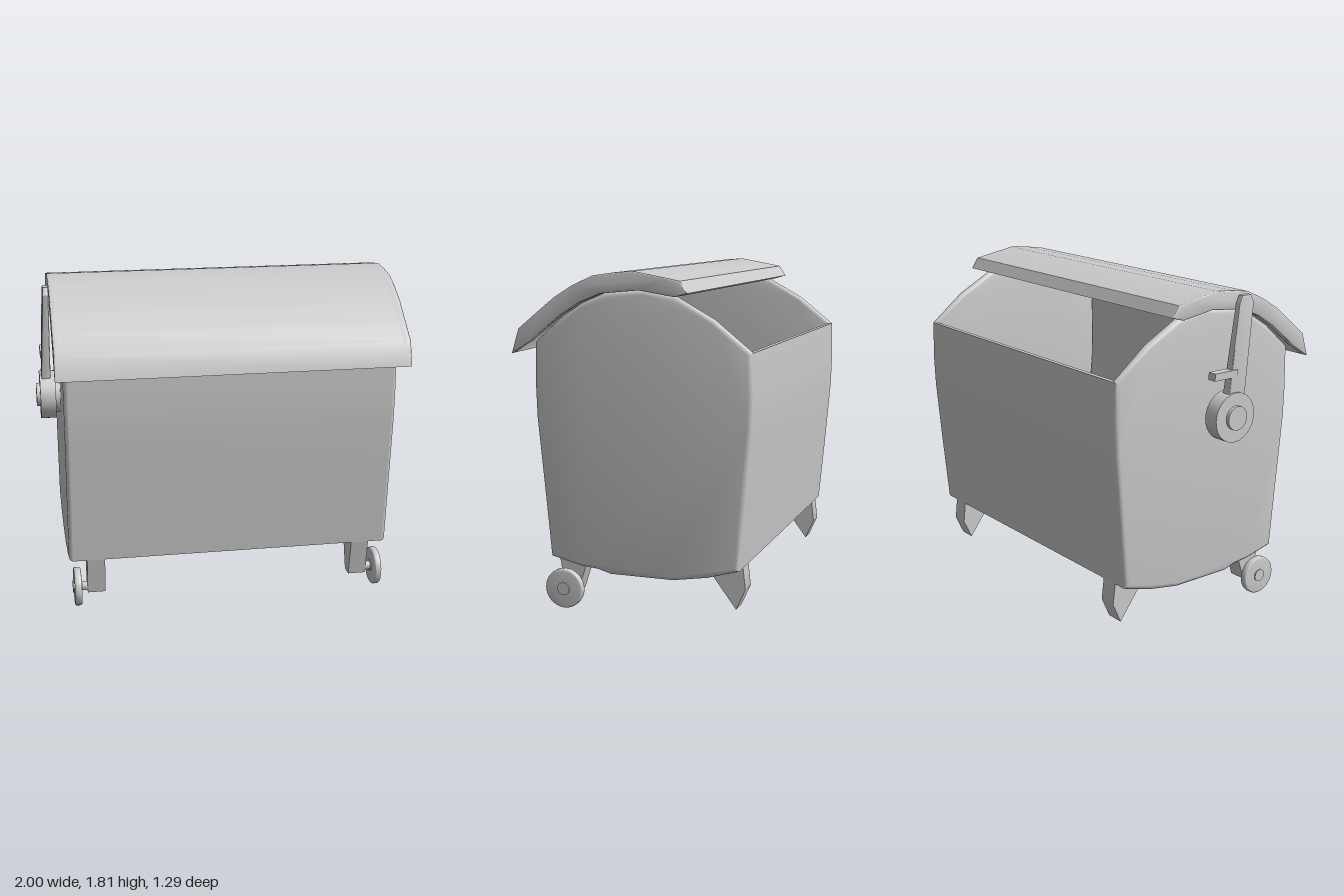
import * as THREE from 'three';
import { toCreasedNormals } from 'three/addons/utils/BufferGeometryUtils.js';

const MID = 0.04; // centre plane of the body in x
const mat = new THREE.MeshStandardMaterial({ color: 0xcccccc });
const sheetMat = new THREE.MeshStandardMaterial({ color: 0xcccccc, side: THREE.DoubleSide });

// Profiles are lists of [z, y]
const wallProfile = [
  [-0.64, 1.42], [-0.645, 1.2], [-0.64, 1.04], [-0.61, 0.68], [-0.575, 0.3], [-0.4, 0.25],
  [-0.22, 0.22], [0.13, 0.22], [0.2, 0.24], [0.3, 0.25], [0.47, 0.29], [0.5, 0.62],
  [0.54, 1.04], [0.545, 1.2], [0.54, 1.44], [0.38, 1.58], [0.27, 1.65], [0.15, 1.7],
  [-0.06, 1.72], [-0.24, 1.69],
];
const openingEdge = [[-0.44, 1.58]];
const lidProfile = [
  [0.65, 1.38], [0.61, 1.51], [0.5, 1.6], [0.4, 1.68], [0.3, 1.74], [0.19, 1.79],
  [0.08, 1.806], [-0.03, 1.815], [-0.2, 1.785], [-0.28, 1.77], [-0.32, 1.71],
];
const skirtEdge = [[-0.25, 1.69], [-0.06, 1.72], [0.15, 1.7], [0.27, 1.65], [0.38, 1.58], [0.54, 1.45]];

function add(parent, name, geometry, material = mat) {
  const mesh = new THREE.Mesh(geometry, material);
  mesh.name = name;
  parent.add(mesh);
  return mesh;
}

// Plate with a [z, y] outline, spanning x0..x1, with optional rounded rims
function plate(outline, x0, x1, bevel = 0) {
  const shape = new THREE.Shape(outline.map(([z, y]) => new THREE.Vector2(-z, y)));
  const g = new THREE.ExtrudeGeometry(shape, {
    depth: x1 - x0 - 2 * bevel, bevelEnabled: bevel > 0, bevelThickness: bevel,
    bevelSize: bevel, bevelOffset: -bevel, bevelSegments: 3,
  });
  g.rotateY(Math.PI / 2).translate(x0 + bevel, 0, 0);
  return toCreasedNormals(g, 0.7);
}

// Thin sheet following a [z, y] line, spanning x0..x1
function sheet(line, x0, x1) {
  const pos = [], index = [];
  line.forEach(([z, y], i) => {
    pos.push(x0, y, z, x1, y, z);
    const a = 2 * i;
    if (i < line.length - 1) index.push(a, a + 1, a + 2, a + 1, a + 3, a + 2);
  });
  const g = new THREE.BufferGeometry();
  g.setAttribute('position', new THREE.Float32BufferAttribute(pos, 3));
  g.setIndex(index);
  return toCreasedNormals(g, 0.7);
}

// Round part with its axis along x
function disc(radius, x0, x1, y, z, segments = 28) {
  const g = new THREE.CylinderGeometry(radius, radius, x1 - x0, segments);
  g.rotateZ(Math.PI / 2).translate((x0 + x1) / 2, y, z);
  return toCreasedNormals(g, 0.7);
}

function box(x0, x1, y0, y1, z0, z1) {
  return new THREE.BoxGeometry(x1 - x0, y1 - y0, z1 - z0)
    .translate((x0 + x1) / 2, (y0 + y1) / 2, (z0 + z1) / 2);
}

export function createModel() {
  const model = new THREE.Group();
  model.name = 'wasteContainer';

  // Hollow body, open on the sloping back
  const body = new THREE.Group();
  body.name = 'body';
  model.add(body);
  add(body, 'wall', sheet(wallProfile, -0.845, 0.925), sheetMat);
  add(body, 'backRim', box(-0.845, 0.925, 1.39, 1.42, -0.64, -0.615));
  for (const x of [-0.87, 0.9]) {
    add(body, 'endPanel', plate([...wallProfile, ...openingEdge], x, x + 0.05, 0.024));
  }

  // Curved lid with side skirts
  const lid = new THREE.Group();
  lid.name = 'lid';
  model.add(lid);
  add(lid, 'lidSheet', sheet(lidProfile, -0.9, 0.99), sheetMat);
  add(lid, 'lidBackReturn', sheet([[-0.32, 1.71], [-0.25, 1.69]], -0.9, 0.99), sheetMat);
  for (const x of [-0.915, 0.952]) {
    add(lid, 'lidSkirt', plate([...lidProfile, ...skirtEdge], x, x + 0.045, 0.006));
  }

  // Front wheels on brackets and rear feet, mirrored about the body centre
  for (const side of [1, -1]) {
    const span = (a, b) => {
      const p = MID + side * a, q = MID + side * b;
      return [Math.min(p, q), Math.max(p, q)];
    };
    const name = side > 0 ? 'left' : 'right';
    add(model, name + 'FrontBracket',
      plate([[0.47, 0.3], [0.3, 0.26], [0.36, 0.075], [0.43, 0.075]], ...span(0.71, 0.81)));
    add(model, name + 'Axle', disc(0.025, ...span(0.78, 0.86), 0.11, 0.41, 16));
    const [w0, w1] = span(0.845, 0.885);
    add(model, name + 'Wheel', plate(
      Array.from({ length: 28 }, (_, i) => {
        const t = (i / 28) * Math.PI * 2;
        return [0.41 + 0.108 * Math.cos(t), 0.109 + 0.108 * Math.sin(t)];
      }), w0, w1, 0.01));
    add(model, name + 'WheelHub', disc(0.035, ...span(0.84, 0.892), 0.11, 0.41, 20));
    add(model, name + 'RearFoot',
      plate([[-0.4, 0.25], [-0.57, 0.31], [-0.585, 0.18], [-0.535, 0.07]], ...span(0.71, 0.81)));
  }

  // Lid pivot and lifting arm on the right end
  const pivot = new THREE.Group();
  pivot.name = 'lidPivot';
  model.add(pivot);
  add(pivot, 'pivotBase', disc(0.105, -0.9, -0.86, 1.145, 0.06));
  add(pivot, 'pivotDisc', disc(0.135, -0.98, -0.895, 1.145, 0.06));
  add(pivot, 'pivotCap', disc(0.065, -1, -0.97, 1.145, 0.06));
  const arm = plate([[0, 1.15], [0.12, 1.15], [0.2, 1.74], [0.18, 1.78], [0.12, 1.78], [0.1, 1.74]],
    -0.975, -0.92, 0.008);
  // Lean the arm towards the lid and thin it near the top
  const p = arm.attributes.position;
  for (let i = 0; i < p.count; i++) {
    const t = (p.getY(i) - 1.15) / 0.63;
    p.setX(i, p.getX(i) * (1 - 0.4 * t) + -0.93 * 0.4 * t + 0.01 * t);
  }
  arm.computeVertexNormals();
  add(pivot, 'liftArm', toCreasedNormals(arm, 0.5));
  add(pivot, 'armPeg', box(-0.97, -0.92, 1.36, 1.4, -0.08, 0.08));

  return model;
}
